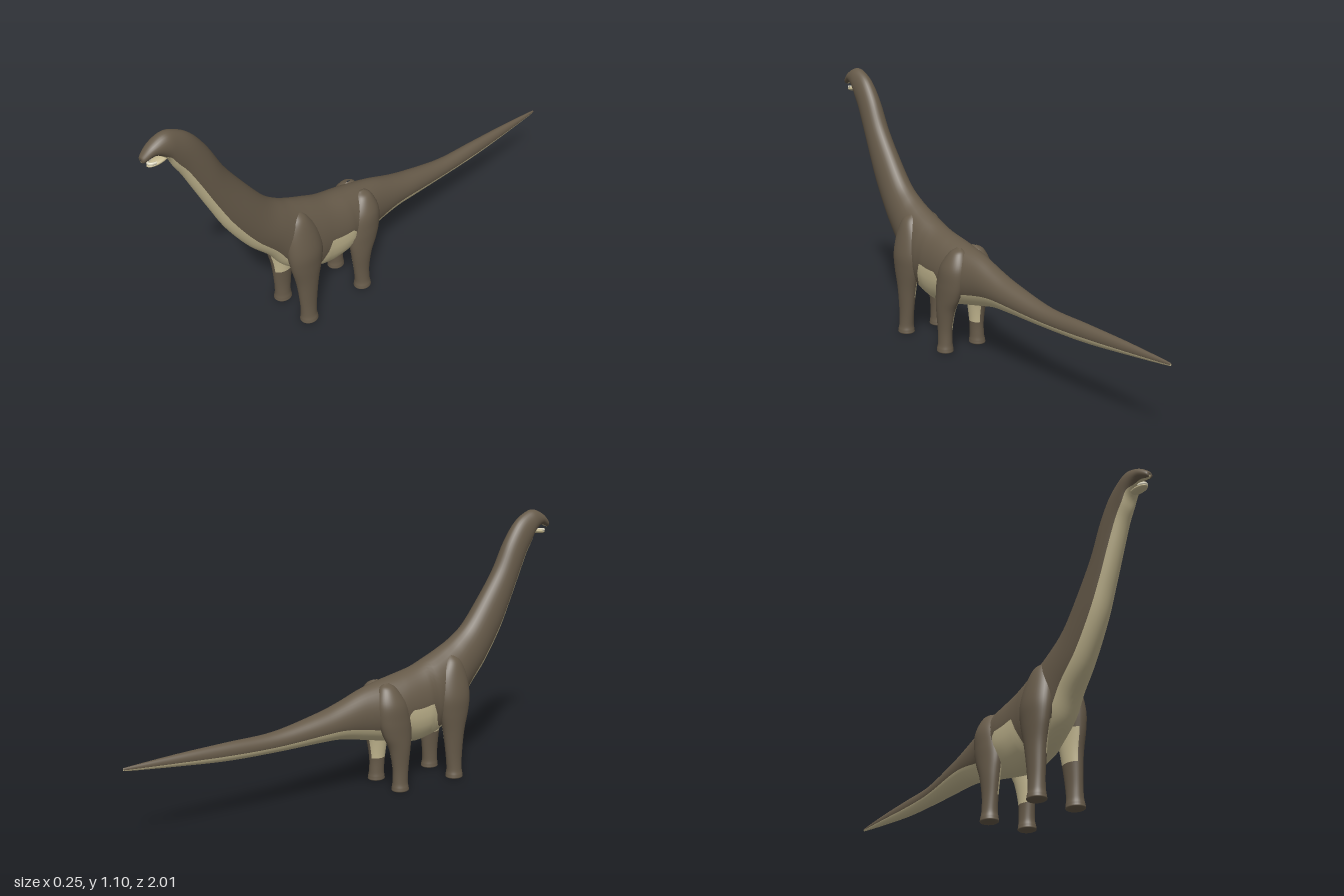
import * as THREE from 'three';

const { smoothstep, lerp, degToRad } = THREE.MathUtils;
const material = (name, color) => Object.assign(new THREE.MeshStandardMaterial({ color }), { name });
const hide = material('brown hide', 0x665a49);
const belly = material('tan belly', 0xc6ba92);
const ivory = material('ivory teeth', 0xe2dcc4);

const ARC = 12, BACK = 24, COLS = ARC + BACK, STEPS = 6;

// Ring angles: the first ARC columns span -half..half, the rest go round the back
function ringAngle(j, half) {
  return j <= ARC
    ? -half + (2 * half * j) / ARC
    : half + ((2 * Math.PI - 2 * half) * (j - ARC)) / BACK;
}

// Smooth skin over rings; isBelly(t) says if the first arc of that row is tan
function loft(rows, ringPoint, isBelly) {
  const pos = [], tan = [], brown = [];
  for (let i = 0; i <= rows; i++)
    for (let j = 0; j < COLS; j++) pos.push(...ringPoint(i / rows, j));
  for (let i = 0; i < rows; i++)
    for (let j = 0; j < COLS; j++) {
      const a = i * COLS + j, b = i * COLS + ((j + 1) % COLS);
      const list = j < ARC && isBelly(i / rows) ? tan : brown;
      list.push(a, a + COLS, b, b, a + COLS, b + COLS);
    }
  const g = new THREE.BufferGeometry();
  g.setAttribute('position', new THREE.Float32BufferAttribute(pos, 3));
  g.setIndex([...brown, ...tan]);
  g.addGroup(0, brown.length, 0);
  g.addGroup(brown.length, tan.length, 1);
  g.computeVertexNormals();
  return g;
}

const spline = (pts) => new THREE.CatmullRomCurve3(pts.map((p) => new THREE.Vector3(...p)), false, 'catmullrom', 0.5);

// Head, neck, trunk and tail: top z, top y, bottom z, bottom y, half width
const SPINE = [
  [1, 1.036, 1, 1.03, 0.003],
  [0.995, 1.048, 0.993, 1.02, 0.016],
  [0.96, 1.078, 0.95, 1.03, 0.028],
  [0.91, 1.098, 0.908, 0.995, 0.037],
  [0.865, 1.087, 0.887, 0.95, 0.04],
  [0.81, 1.048, 0.86, 0.9, 0.043],
  [0.755, 0.97, 0.822, 0.815, 0.047],
  [0.7, 0.86, 0.77, 0.7, 0.051],
  [0.625, 0.75, 0.715, 0.585, 0.057],
  [0.54, 0.64, 0.63, 0.455, 0.065],
  [0.47, 0.584, 0.545, 0.36, 0.077],
  [0.41, 0.552, 0.48, 0.27, 0.088],
  [0.35, 0.525, 0.38, 0.2, 0.097],
  [0.27, 0.492, 0.27, 0.172, 0.1],
  [0.18, 0.471, 0.18, 0.184, 0.099],
  [0.09, 0.453, 0.09, 0.203, 0.087],
  [0, 0.43, 0, 0.222, 0.07],
  [-0.1, 0.393, -0.1, 0.242, 0.061],
  [-0.2, 0.364, -0.2, 0.246, 0.054],
  [-0.4, 0.326, -0.4, 0.245, 0.037],
  [-0.6, 0.321, -0.6, 0.25, 0.028],
  [-0.8, 0.315, -0.8, 0.268, 0.018],
  [-0.99, 0.304, -0.99, 0.289, 0.005],
  [-1, 0.3, -1, 0.295, 0.001],
];

// Half angle of the tan underside: narrow on the throat and chest, high on the flank
function bellyAngle(z) {
  const neck = 40 + 12 * smoothstep(z, 0.42, 0.6) - 32 * smoothstep(z, 0.9, 0.95);
  const tail = 75 - 17 * smoothstep(z, -0.2, 0.1);
  const flank = smoothstep(z, 0.15, 0.19) * (1 - smoothstep(z, 0.3, 0.36));
  return degToRad(lerp(z > 0.25 ? neck : tail, 93, flank));
}

function bodyGeometry() {
  const top = spline(SPINE.map((s) => [0, s[1], s[0]]));
  const bottom = spline(SPINE.map((s) => [0, s[3], s[2]]));
  const girth = spline(SPINE.map((s) => [s[4], 0, 0]));
  return loft((SPINE.length - 1) * STEPS, (t, j) => {
    const p = bottom.getPoint(t), a = ringAngle(j, bellyAngle(p.z));
    p.lerp(top.getPoint(t), (1 - Math.cos(a)) / 2);
    return [girth.getPoint(t).x * Math.sin(a), p.y, p.z];
  }, () => true);
}

// Legs from the hidden top downward: y, centre x, centre z, radius x, radius z
const FRONT_LEG = [
  [0.53, 0.045, 0.43, 0.003, 0.01],
  [0.5, 0.05, 0.43, 0.032, 0.04],
  [0.44, 0.06, 0.425, 0.045, 0.068],
  [0.36, 0.073, 0.422, 0.049, 0.078],
  [0.29, 0.079, 0.422, 0.042, 0.07],
  [0.2, 0.08, 0.422, 0.035, 0.05],
  [0.1, 0.082, 0.424, 0.029, 0.038],
];
const HIND_LEG = [
  [0.45, 0.04, 0.1, 0.003, 0.01],
  [0.43, 0.045, 0.1, 0.033, 0.038],
  [0.37, 0.06, 0.108, 0.049, 0.068],
  [0.3, 0.07, 0.118, 0.045, 0.074],
  [0.24, 0.077, 0.128, 0.038, 0.066],
  [0.18, 0.08, 0.139, 0.034, 0.049],
  [0.1, 0.082, 0.142, 0.028, 0.036],
];

// Ankle, flared foot and flat sole
const foot = (z, r) => [
  [0.04, 0.083, z, r - 0.004, r],
  [0.015, 0.084, z, r, r + 0.003],
  [0.002, 0.084, z, r - 0.002, r + 0.001],
  [0, 0.084, z, 0.001, 0.001],
];

// The inner side of the leg is tan between two heights
function legGeometry(sections, tanFrom, tanTo, mirrored) {
  const centre = spline(sections.map((s) => [s[1], s[0], s[2]]));
  const radius = spline(sections.map((s) => [s[3], s[4], 0]));
  const g = loft((sections.length - 1) * STEPS, (t, j) => {
    const c = centre.getPoint(t), r = radius.getPoint(t), a = ringAngle(j, 1.25);
    return [c.x - r.x * Math.cos(a), Math.max(0, c.y), c.z + r.y * Math.sin(a)];
  }, (t) => {
    const { y } = centre.getPoint(t);
    return y > tanFrom && y < tanTo;
  });
  if (mirrored) {
    g.scale(-1, 1, 1);
    const ix = g.index.array;
    for (let i = 0; i < ix.length; i += 3) [ix[i], ix[i + 1]] = [ix[i + 1], ix[i]];
    g.computeVertexNormals();
  }
  return g;
}

export function createModel() {
  const model = new THREE.Group();
  model.name = 'longNeckedDinosaur';
  const add = (name, geometry, mat) => {
    const mesh = new THREE.Mesh(geometry, mat);
    mesh.name = name;
    model.add(mesh);
    return mesh;
  };

  add('body', bodyGeometry(), [hide, belly]);
  for (const side of ['left', 'right']) {
    const mirrored = side === 'right';
    add(side + 'FrontLeg', legGeometry([...FRONT_LEG, ...foot(0.426, 0.034)], 0.17, 0.3, mirrored), [hide, belly]);
    add(side + 'HindLeg', legGeometry([...HIND_LEG, ...foot(0.14, 0.033)], 0.11, 0.3, mirrored), [hide, belly]);
  }

  // Lower jaw, hanging slightly open, with a curved row of teeth
  const jaw = add('lowerJaw', new THREE.SphereGeometry(1, 20, 12), belly);
  jaw.scale.set(0.02, 0.009, 0.042);
  jaw.position.set(0, 1.003, 0.94);
  jaw.rotation.x = 0.12;
  const teeth = add('lowerTeeth', new THREE.TorusGeometry(0.015, 0.0035, 6, 20, Math.PI), ivory);
  teeth.rotation.x = Math.PI / 2;
  teeth.scale.set(1, 1.5, 1.6);
  teeth.position.set(0, 1.008, 0.953);

  return model;
}
